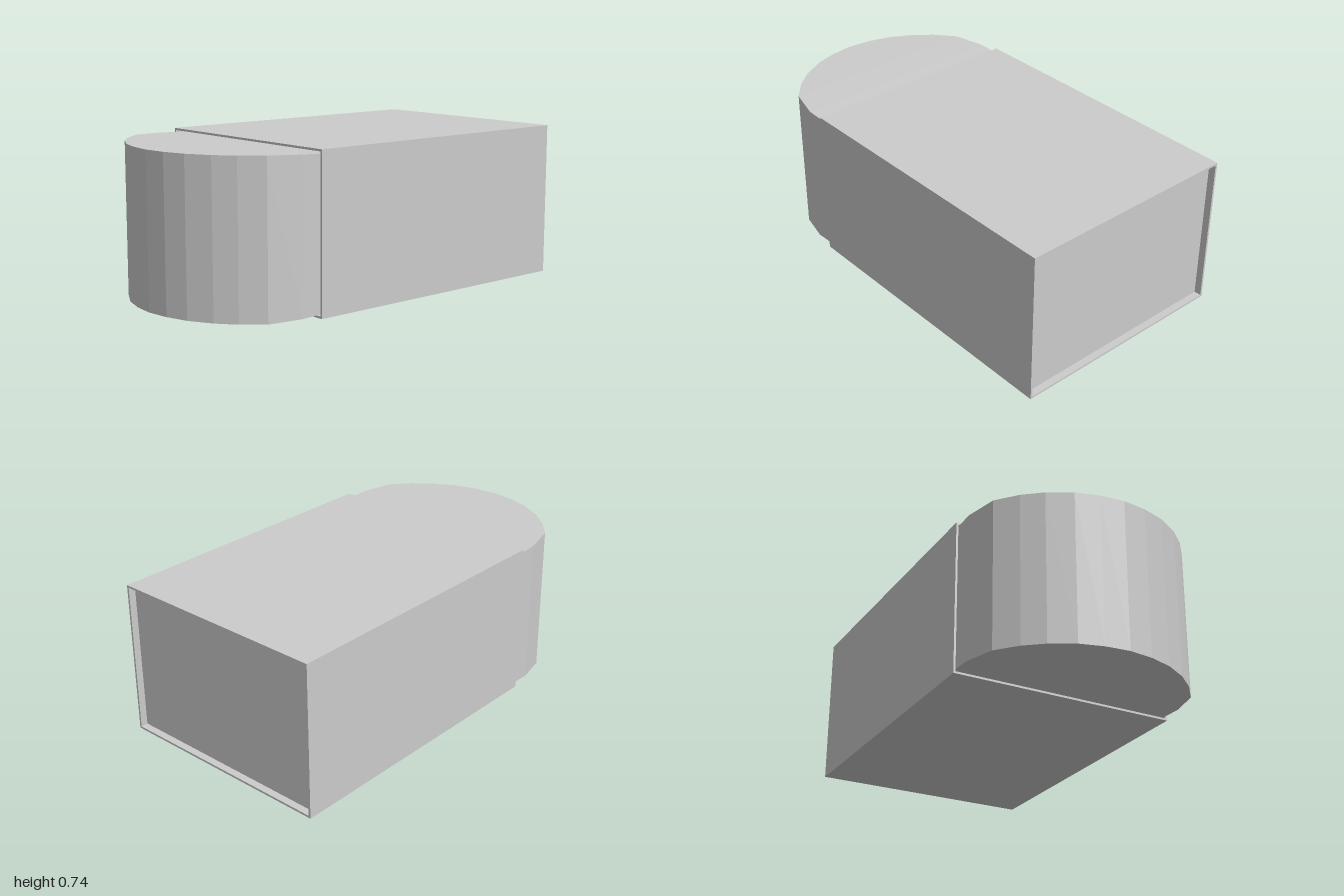
import * as THREE from 'three';

const HALF_W = 0.55, HEIGHT = 0.74, WALL = 0.01;

const material = new THREE.MeshStandardMaterial({ color: 0xcccccc, flatShading: true });

function rectangle(path, x, y0, y1) {
  path.moveTo(-x, y0);
  path.lineTo(x, y0);
  path.lineTo(x, y1);
  path.lineTo(-x, y1);
  path.closePath();
  return path;
}

// Thin rectangular tube, open at the front and the back
function makeSleeve() {
  const shape = rectangle(new THREE.Shape(), HALF_W, 0, HEIGHT);
  shape.holes.push(rectangle(new THREE.Path(), HALF_W - WALL, WALL, HEIGHT - WALL));
  const geometry = new THREE.ExtrudeGeometry(shape, { depth: 1.475, bevelEnabled: false });
  geometry.translate(0, 0, -1);
  const mesh = new THREE.Mesh(geometry, material);
  mesh.name = 'sleeve';
  return mesh;
}

// Solid drawer with a rounded front, lofted from rectangles along z
function makeDrawer() {
  // [z, half width, inset from the floor and the top]
  const sections = [
    [-0.965, 0.54, 0.01], [0.475, 0.54, 0.019], [0.575, 0.54, 0.015],
    [0.73, 0.5, 0.01], [0.825, 0.42, 0.01], [0.895, 0.335, 0.01],
    [0.955, 0.225, 0.01], [0.987, 0.115, 0.01], [1, 0, 0.01],
  ];
  const positions = [], index = [];
  for (const [z, x, inset] of sections) {
    const top = HEIGHT - inset;
    positions.push(-x, inset, z, x, inset, z, x, top, z, -x, top, z);
  }
  for (let s = 0; s < sections.length - 1; s++) {
    for (let i = 0; i < 4; i++) {
      const a = s * 4 + i, b = s * 4 + (i + 1) % 4;
      index.push(a, b, b + 4, a, b + 4, a + 4);
    }
  }
  index.push(0, 2, 1, 0, 3, 2); // back panel
  const indexed = new THREE.BufferGeometry();
  indexed.setAttribute('position', new THREE.Float32BufferAttribute(positions, 3));
  indexed.setIndex(index);
  const geometry = indexed.toNonIndexed();
  geometry.computeVertexNormals();
  const mesh = new THREE.Mesh(geometry, material);
  mesh.name = 'roundedDrawer';
  return mesh;
}

export function createModel() {
  const group = new THREE.Group();
  group.name = 'sleevedBox';
  group.add(makeSleeve(), makeDrawer());
  return group;
}
